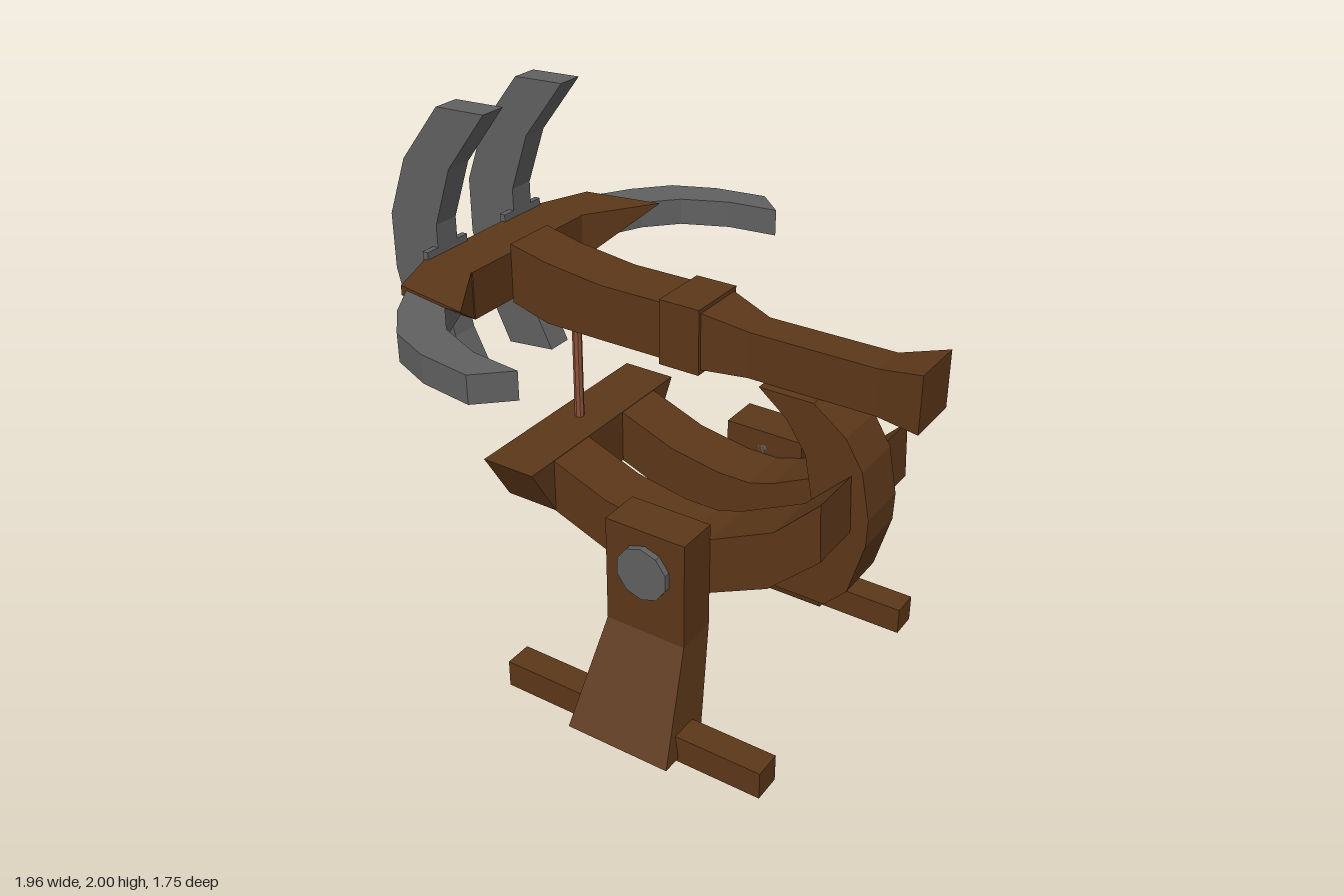
import * as THREE from 'three';

const mat = (color) => new THREE.MeshStandardMaterial({ color, flatShading: true });

// Side profile in x/y, extruded from z0 to z1
function profile(points, z0, z1) {
  const shape = new THREE.Shape(points.map(([x, y]) => new THREE.Vector2(x, y)));
  return new THREE.ExtrudeGeometry(shape, { depth: z1 - z0, bevelEnabled: false }).translate(0, 0, z0);
}

// Plan outline in x/z, extruded from y0 to y1
function plan(points, y0, y1) {
  return profile(points, 0, y1 - y0).rotateX(Math.PI / 2).translate(0, y1, 0);
}

function box(x0, x1, y0, y1, z0, z1) {
  return new THREE.BoxGeometry(x1 - x0, y1 - y0, z1 - z0)
    .translate((x0 + x1) / 2, (y0 + y1) / 2, (z0 + z1) / 2);
}

// Closed solid through four-cornered rings, counter-clockwise seen from the last ring
function loft(rings) {
  const pos = [];
  const quad = (a, b, c, d) => pos.push(...a, ...b, ...c, ...a, ...c, ...d);
  for (let r = 0; r < rings.length - 1; r++) {
    const lo = rings[r], hi = rings[r + 1];
    for (let i = 0; i < 4; i++) {
      const j = (i + 1) % 4;
      quad(lo[i], lo[j], hi[j], hi[i]);
    }
  }
  quad(...[...rings[0]].reverse());
  quad(...rings[rings.length - 1]);
  const g = new THREE.BufferGeometry();
  g.setAttribute('position', new THREE.Float32BufferAttribute(pos, 3));
  g.computeVertexNormals();
  return g;
}

const ringY = ([y, x0, x1, z0, z1]) => [[x0, y, z1], [x1, y, z1], [x1, y, z0], [x0, y, z0]];
const ringX = ([x, y0, y1, h]) => [[x, y0, h], [x, y0, -h], [x, y1, -h], [x, y1, h]];

// Copy reflected in z, with the triangle order turned round
function mirrored(geometry) {
  const g = geometry.index ? geometry.toNonIndexed() : geometry.clone();
  g.scale(1, 1, -1);
  const p = g.attributes.position;
  const a = new THREE.Vector3(), b = new THREE.Vector3();
  for (let i = 0; i < p.count; i += 3) {
    a.fromBufferAttribute(p, i + 1);
    b.fromBufferAttribute(p, i + 2);
    p.setXYZ(i + 1, b.x, b.y, b.z);
    p.setXYZ(i + 2, a.x, a.y, a.z);
  }
  g.computeVertexNormals();
  return g;
}

export function createModel() {
  const group = new THREE.Group();
  const wood = mat(0x5c3719), iron = mat(0x606060), copper = mat(0x8b5138);

  const add = (name, geometry, material) => {
    const mesh = new THREE.Mesh(geometry, material);
    mesh.name = name;
    group.add(mesh);
  };
  const addPair = (name, geometry, material) => {
    add('left' + name, geometry, material);
    add('right' + name, mirrored(geometry), material);
  };
  // Left and right here follow +z and -z, the two flanks of the machine

  // Stand: ground beams, splayed legs and pivot bolts
  addPair('GroundBeam', box(-0.3, 0.74, 0, 0.105, 0.47, 0.575), wood);
  addPair('Leg', loft([
    [0.015, 0.02, 0.425, 0.435, 0.65],
    [0.39, 0.065, 0.375, 0.31, 0.467],
    [0.795, 0.065, 0.375, 0.31, 0.467],
  ].map(ringY)), wood);
  addPair('PivotBolt', new THREE.CylinderGeometry(0.1, 0.1, 0.18, 10)
    .rotateX(Math.PI / 2).translate(0.22, 0.64, 0.4), iron);

  // Cradle: two curved arms joined by a crossbar with undercut ends
  addPair('CradleArm', profile([
    [-0.27, 0.62], [-0.05, 0.535], [0.15, 0.5], [0.29, 0.5], [0.375, 0.52], [0.595, 0.625],
    [0.78, 0.8], [0.77, 1.01], [0.61, 0.85], [0.375, 0.735], [0.28, 0.705], [0.15, 0.705],
    [-0.05, 0.74], [-0.27, 0.825],
  ], 0.105, 0.31), wood);
  add('crossbar', loft([
    [0.62, -0.475, -0.265, -0.31, 0.31],
    [0.825, -0.475, -0.265, -0.435, 0.435],
  ].map(ringY)), wood);
  add('supportRod', new THREE.CylinderGeometry(0.018, 0.018, 0.42, 8).translate(-0.383, 1.02, 0), copper);

  // Curved rear rib under the stock
  add('rearRib', profile([
    [0.42, 1.225], [0.62, 1.225], [0.74, 1.135], [0.805, 1.03], [0.838, 0.86], [0.835, 0.76],
    [0.78, 0.56], [0.7, 0.475], [0.495, 0.475], [0.595, 0.6], [0.635, 0.73], [0.63, 0.87],
    [0.6, 1.03], [0.525, 1.14],
  ], -0.1, 0.1), wood);

  // Stock with a raised nose, narrow grip and flared butt
  add('stock', loft([
    [-0.58, 1.27, 1.492, 0.104],
    [-0.43, 1.227, 1.458, 0.104],
    [-0.2, 1.225, 1.43, 0.104],
    [0.2, 1.225, 1.43, 0.104],
    [0.36, 1.225, 1.39, 0.067],
    [0.82, 1.225, 1.39, 0.067],
    [0.98, 1.225, 1.43, 0.104],
  ].map(ringX)), wood);
  add('stockCollar', box(0.045, 0.2, 1.208, 1.445, -0.116, 0.116), wood);

  // Bow: centre block and swept arms whose underside rises to the tip
  add('bowCentre', box(-0.79, -0.58, 1.285, 1.46, -0.31, 0.31), wood);
  const bowArm = plan([[-0.79, 0.31], [-0.71, 0.52], [-0.41, 0.57], [-0.585, 0.31]], 1.285, 1.46);
  const p = bowArm.attributes.position;
  for (let i = 0; i < p.count; i++) {
    if (p.getY(i) < 1.4) p.setY(i, 1.285 + 0.173 * (p.getZ(i) - 0.31) / 0.26);
  }
  bowArm.computeVertexNormals();
  addPair('BowArm', bowArm, wood);

  // Iron limbs curving back from the bow tips
  addPair('BowLimb', plan([
    [-0.735, 0.4], [-0.68, 0.53], [-0.6, 0.66], [-0.49, 0.78], [-0.33, 0.847], [-0.13, 0.875],
    [-0.02, 0.77], [-0.21, 0.747], [-0.38, 0.673], [-0.485, 0.56], [-0.56, 0.4],
  ], 1.35, 1.45), iron);

  // Upright curved blades on mounting plates at the nose
  addPair('MountPlate', box(-0.797, -0.775, 1.257, 1.487, 0.105, 0.312), iron);
  addPair('UprightBlade', profile([
    [-0.535, 2], [-0.735, 1.993], [-0.9, 1.785], [-0.98, 1.57], [-0.98, 1.365], [-0.93, 1.16],
    [-0.825, 0.94], [-0.625, 0.96], [-0.725, 1.16], [-0.775, 1.365], [-0.775, 1.57], [-0.7, 1.785],
  ], 0.157, 0.258), iron);

  return group;
}
